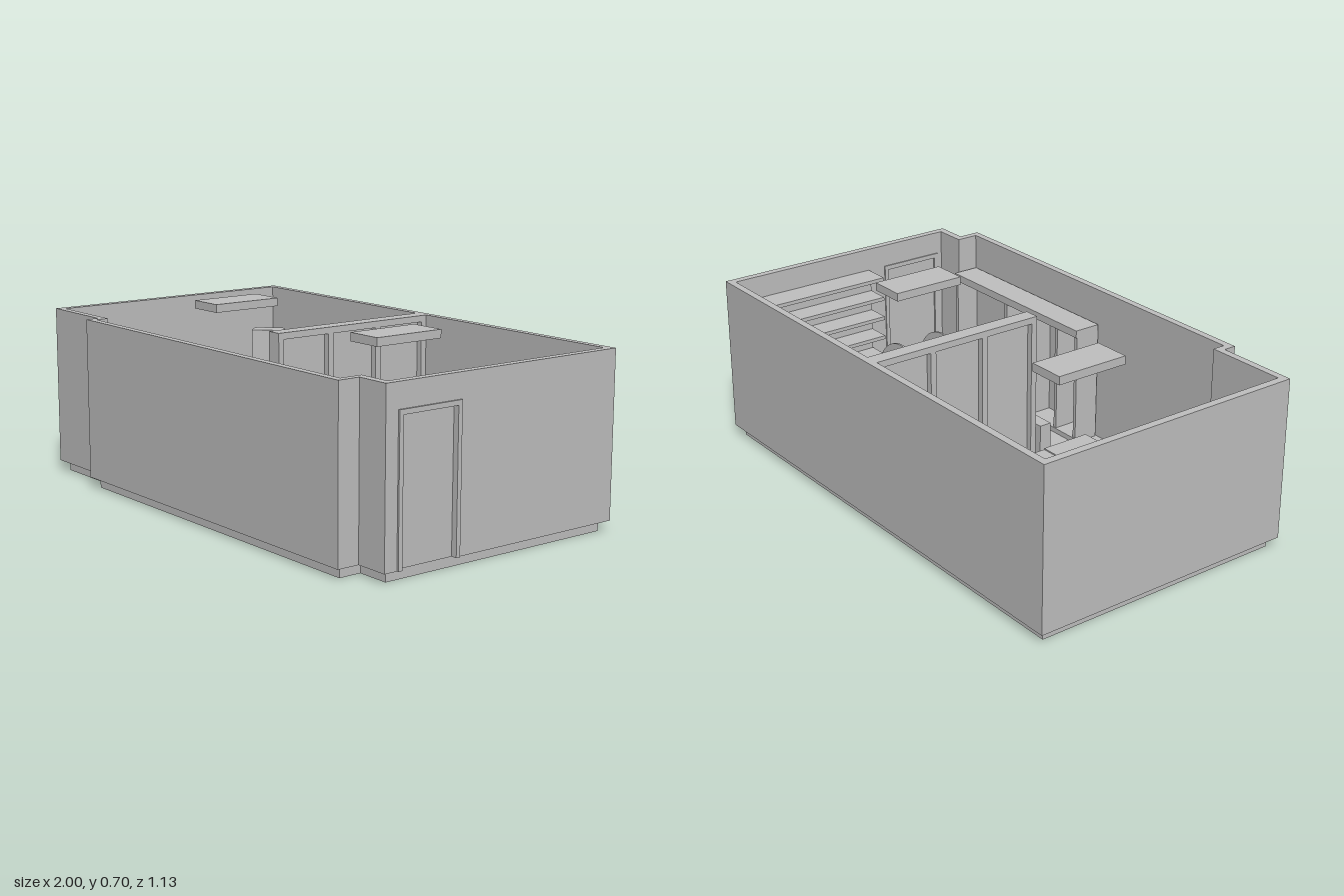
import * as THREE from 'three';

const grey = new THREE.MeshStandardMaterial({ color: 0xc0c0c0 });
grey.name = 'plain grey';

export function createModel() {
  const model = new THREE.Group();
  model.name = 'roomInterior';

  const group = (name) => {
    const g = new THREE.Group();
    g.name = name;
    model.add(g);
    return g;
  };
  const add = (parent, name, geometry) => {
    const m = new THREE.Mesh(geometry, grey);
    m.name = name;
    parent.add(m);
    return m;
  };
  // box given by its limits on each axis
  const box = (parent, name, x0, x1, y0, y1, z0, z1) => {
    const m = add(parent, name, new THREE.BoxGeometry(x1 - x0, y1 - y0, z1 - z0));
    m.position.set((x0 + x1) / 2, (y0 + y1) / 2, (z0 + z1) / 2);
    return m;
  };
  // plan outline [x, z] raised from y0 to y1
  const slab = (parent, name, points, y0, y1) => {
    const s = new THREE.Shape(points.map(([x, z]) => new THREE.Vector2(x, -z)));
    const geo = new THREE.ExtrudeGeometry(s, { depth: y1 - y0, bevelEnabled: false });
    geo.rotateX(-Math.PI / 2).translate(0, y0, 0);
    return add(parent, name, geo);
  };

  const F = 0.04, H = 0.66;
  const inner = [[-0.97, -0.537], [0.96, -0.537], [0.96, 0.447], [0.833, 0.447],
    [0.833, 0.535], [-0.652, 0.535], [-0.652, 0.485], [-0.97, 0.485]];

  // floor and outer walls, leaving the doorway open on the left side
  slab(model, 'floor', inner, 0, F);
  const walls = group('walls');
  slab(walls, 'wallRun', [
    [0.99, 0.158], [0.99, -0.565], [-1, -0.565], [-1, 0.513], [-0.68, 0.513],
    [-0.68, 0.563], [0.86, 0.563], [0.86, 0.477], [0.99, 0.477], [0.99, 0.425],
    [0.96, 0.425], [0.96, 0.447], [0.833, 0.447], [0.833, 0.535], [-0.652, 0.535],
    [-0.652, 0.485], [-0.97, 0.485], [-0.97, -0.537], [0.96, -0.537], [0.96, 0.158],
  ], F, H);
  box(walls, 'doorLintel', 0.96, 0.99, 0.57, H, 0.158, 0.425);

  // door
  const door = group('door');
  box(door, 'frameBack', 0.955, 0.997, F, 0.57, 0.158, 0.175);
  box(door, 'frameFront', 0.955, 0.997, F, 0.57, 0.408, 0.425);
  box(door, 'frameTop', 0.955, 0.997, 0.552, 0.57, 0.175, 0.408);
  box(door, 'doorLeaf', 0.962, 0.974, F, 0.552, 0.175, 0.408);

  // ceiling lamps
  for (const x of [-0.515, 0.452]) {
    box(model, 'ceilingLamp', x - 0.073, x + 0.073, 0.673, 0.705, -0.17, 0.125);
  }

  // middle partition: posts, rails and recessed panels
  const partition = group('partition');
  box(partition, 'topRail', -0.03, 0.03, 0.635, H, -0.537, 0.177);
  box(partition, 'bottomRail', -0.03, 0.03, F, 0.065, -0.537, 0.177);
  for (let i = 0; i < 4; i++) {
    const z = -0.525 + i * 0.23;
    box(partition, 'post', -0.03, 0.03, 0.065, 0.635, z - 0.012, z + 0.012);
  }
  box(partition, 'panel', -0.006, 0.006, 0.065, 0.635, -0.52, 0.17);
  box(model, 'bin', -0.03, 0.07, F, 0.2, 0.2, 0.25);

  // open bookcase along the front wall
  const bookcase = group('bookcase');
  box(bookcase, 'top', 0.03, 0.825, 0.49, 0.52, 0.42, 0.53);
  box(bookcase, 'back', 0.03, 0.825, F, 0.49, 0.522, 0.53);
  box(bookcase, 'base', 0.03, 0.825, F, 0.06, 0.42, 0.522);
  for (const x of [0.03, 0.15, 0.315, 0.475, 0.81]) {
    box(bookcase, 'upright', x, x + 0.015, 0.06, 0.49, 0.425, 0.522);
  }

  // wall shelves on the left side
  const shelves = group('wallShelves');
  for (let i = 0; i < 5; i++) {
    const y = 0.57 - i * 0.085;
    box(shelves, 'shelf', 0.85, 0.945, y - 0.015, y, -0.53, 0.08);
  }
  box(shelves, 'back', 0.945, 0.96, F, 0.57, -0.53, 0.08);

  box(model, 'lowCabinet', -0.965, -0.86, F, 0.28, 0.075, 0.475);

  // bed in two halves with a cover over the foot
  const bed = group('bed');
  box(bed, 'rightHalf', -0.597, -0.402, F, 0.205, -0.31, 0.08);
  box(bed, 'leftHalf', -0.398, -0.203, F, 0.205, -0.31, 0.08);
  box(bed, 'footCover', -0.597, -0.203, F, 0.21, 0.08, 0.28);

  // screen on its stand
  const media = group('screenStand');
  box(media, 'cabinet', -0.555, -0.24, F, 0.16, -0.52, -0.36);
  box(media, 'screen', -0.555, -0.24, 0.3, 0.47, -0.457, -0.447);
  box(media, 'screenBack', -0.5, -0.285, 0.33, 0.44, -0.497, -0.457);
  box(media, 'stem', -0.42, -0.375, 0.16, 0.33, -0.48, -0.46);
  box(media, 'camera', -0.405, -0.39, 0.47, 0.485, -0.456, -0.448);
  for (const x of [-0.505, -0.295]) box(media, 'foot', x, x + 0.012, 0.16, 0.2, -0.445, -0.4);

  // corner unit with rounded back corners, turned to face the room
  const corner = group('cornerUnit');
  corner.position.set(-0.862, 0, -0.435);
  corner.rotation.y = Math.PI / 4;
  const s = new THREE.Shape();
  s.moveTo(-0.066, -0.034).lineTo(0.066, -0.034).lineTo(0.066, 0.014);
  s.quadraticCurveTo(0.066, 0.04, 0.04, 0.04).lineTo(-0.04, 0.04);
  s.quadraticCurveTo(-0.066, 0.04, -0.066, 0.014).closePath();
  const body = new THREE.ExtrudeGeometry(s, { depth: 0.46, bevelEnabled: false, curveSegments: 6 });
  add(corner, 'body', body.rotateX(-Math.PI / 2).translate(0, F, 0));
  box(corner, 'ledge', -0.05, 0.05, 0.285, 0.293, 0.034, 0.044);
  for (const x of [-0.03, 0, 0.03]) box(corner, 'knob', x - 0.005, x + 0.005, 0.3, 0.31, 0.034, 0.042);

  // long desk split into three by arched dividers
  const desk = group('sharedDesk');
  box(desk, 'top', 0.25, 0.55, 0.22, 0.238, -0.537, 0.055);
  box(desk, 'spine', 0.395, 0.403, F, 0.37, -0.537, 0.05);
  const arch = new THREE.Shape();
  arch.moveTo(-0.15, F).lineTo(0.15, F).lineTo(0.15, 0.33);
  arch.absarc(0, 0.33, 0.15, 0, Math.PI, false);
  arch.closePath();
  const archGeo = new THREE.ExtrudeGeometry(arch, { depth: 0.008, bevelEnabled: false, curveSegments: 20 });
  for (const z of [-0.537, -0.344, -0.146, 0.047]) {
    add(desk, 'archedDivider', archGeo).position.set(0.4, 0, z);
  }
  for (let i = 0; i < 3; i++) {
    const z = -0.529 + i * 0.195;
    box(desk, 'shelf', 0.355, 0.445, 0.362, 0.38, z, z + 0.185);
  }
  box(model, 'stool', 0.305, 0.38, F, 0.17, 0.058, 0.115);

  return model;
}
